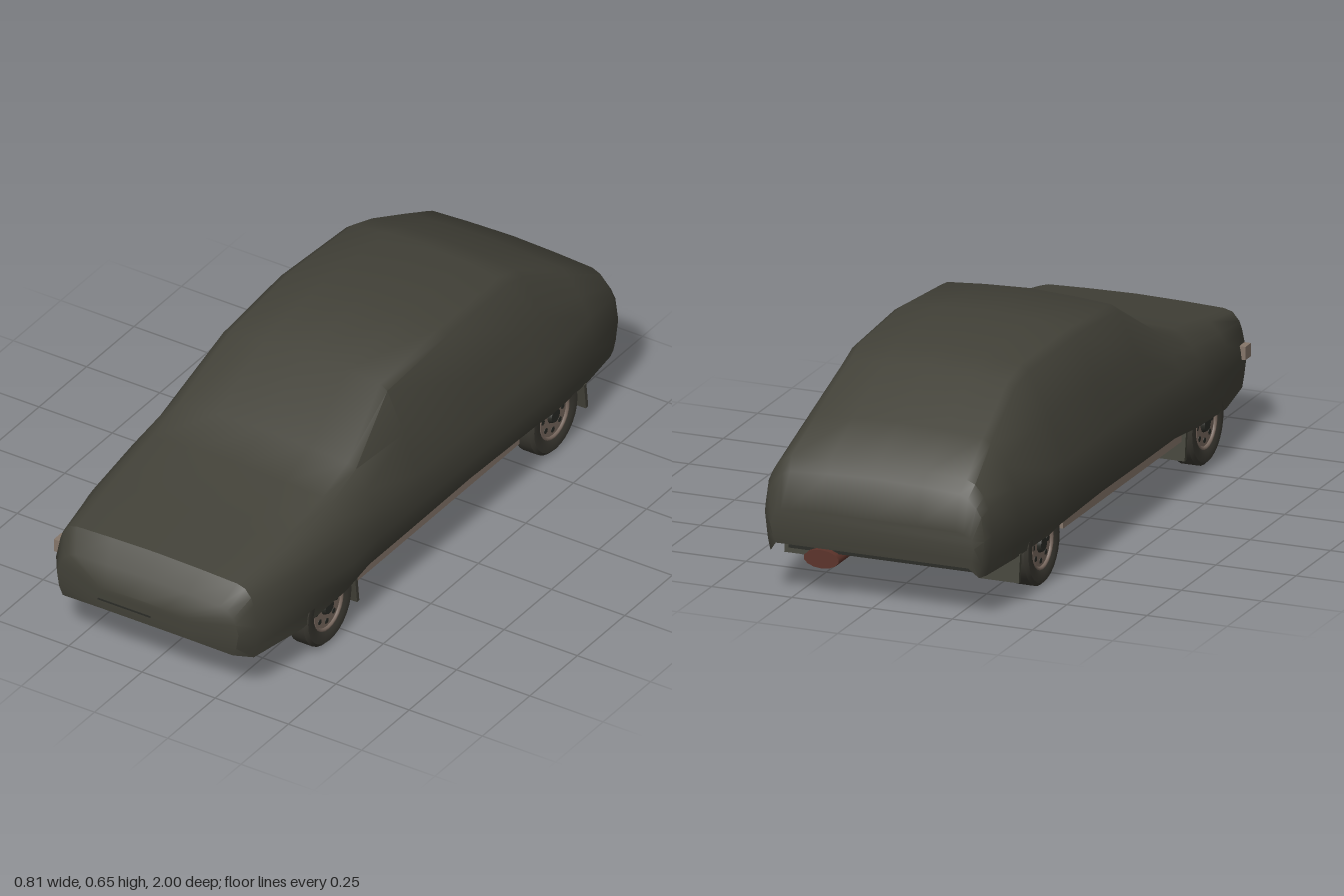
import * as THREE from 'three';
import { toCreasedNormals } from 'three/addons/utils/BufferGeometryUtils.js';

const mat = (name, color, side = THREE.FrontSide) => {
  const m = new THREE.MeshStandardMaterial({ color, side });
  m.name = name;
  return m;
};

export function createModel() {
  const cloth = mat('cover cloth', 0x424138, THREE.DoubleSide);
  const rubber = mat('tyre rubber', 0x3b3932);
  const steel = mat('wheel steel', 0x7a6a60);
  const under = mat('underbody', 0x2b2c27);
  const rust = mat('exhaust rust', 0x5c332a);
  const sillPaint = mat('sill paint', 0x85766a);

  const car = new THREE.Group();
  car.name = 'coveredCar';
  const add = (name, geo, m, x = 0, y = 0, z = 0, parent = car) => {
    const mesh = new THREE.Mesh(geo, m);
    mesh.name = name;
    mesh.position.set(x, y, z);
    parent.add(mesh);
    return mesh;
  };
  const box = (name, w, h, d, m, x, y, z, parent) =>
    add(name, new THREE.BoxGeometry(w, h, d), m, x, y, z, parent);

  // Cloth cover: z, crown y, then x,y of roof edge, belt, widest line and hem
  const sections = [
    [1.0, 0.245, 0.14, 0.237, 0.15, 0.22, 0.155, 0.2, 0.14, 0.17],
    [0.97, 0.305, 0.27, 0.29, 0.3, 0.25, 0.31, 0.22, 0.29, 0.145],
    [0.92, 0.365, 0.3, 0.35, 0.33, 0.3, 0.345, 0.23, 0.33, 0.125],
    [0.72, 0.4, 0.315, 0.382, 0.365, 0.32, 0.375, 0.24, 0.365, 0.125],
    [0.5, 0.44, 0.32, 0.415, 0.38, 0.34, 0.4, 0.24, 0.375, 0.14],
    [0.36, 0.48, 0.315, 0.455, 0.383, 0.34, 0.395, 0.25, 0.36, 0.145],
    [0.14, 0.62, 0.28, 0.59, 0.383, 0.34, 0.397, 0.25, 0.36, 0.145],
    [-0.17, 0.646, 0.285, 0.612, 0.385, 0.34, 0.4, 0.25, 0.36, 0.147],
    [-0.5, 0.637, 0.275, 0.6, 0.388, 0.34, 0.404, 0.25, 0.372, 0.15],
    [-0.59, 0.608, 0.27, 0.575, 0.383, 0.345, 0.4, 0.25, 0.375, 0.145],
    [-0.8, 0.502, 0.285, 0.475, 0.36, 0.35, 0.374, 0.25, 0.36, 0.137],
    [-0.95, 0.422, 0.3, 0.398, 0.343, 0.33, 0.354, 0.25, 0.335, 0.128],
    [-0.98, 0.385, 0.29, 0.362, 0.332, 0.31, 0.342, 0.24, 0.325, 0.128],
    [-1.0, 0.27, 0.285, 0.26, 0.31, 0.24, 0.318, 0.22, 0.3, 0.16],
  ];
  const rings = sections.map(([z, top, rx, ry, bx, by, mx, my, hx, hy]) => {
    const half = [
      [rx * 0.5, top - (top - ry) * 0.2],
      [rx * 0.91, ry + (top - ry) * 0.5],
      [rx, ry],
      [(rx + bx) / 2 + 0.006, (ry + by) / 2],
      [bx, by],
      [mx, my],
      [mx * 0.975, hy + (my - hy) * 0.35],
      [hx, hy],
    ];
    return [
      ...half.slice().reverse().map(([x, y]) => [-x, y, z]),
      [0, top, z],
      ...half.map(([x, y]) => [x, y, z]),
    ];
  });
  const n = rings[0].length, index = [];
  const quad = (a, b, c, d) => index.push(a, b, c, a, c, d);
  for (let s = 0; s < rings.length - 1; s++)
    for (let j = 0; j < n - 1; j++)
      quad(s * n + j, s * n + j + 1, (s + 1) * n + j + 1, (s + 1) * n + j);
  // nose and tail are closed by strips between mirrored points
  const last = (rings.length - 1) * n;
  for (let j = 0; j < (n - 1) / 2; j++) {
    const k = n - 1 - j;
    quad(j, k, k - 1, j + 1);
    quad(last + j, last + j + 1, last + k - 1, last + k);
  }
  let cover = new THREE.BufferGeometry();
  cover.setAttribute('position', new THREE.Float32BufferAttribute(rings.flat(2), 3));
  cover.setIndex(index);
  cover = toCreasedNormals(cover, 0.7);
  add('clothCover', cover, cloth);
  box('noseSlit', 0.18, 0.005, 0.004, under, -0.06, 0.2, 1.0);
  box('exposedLamp', 0.02, 0.04, 0.04, sillPaint, -0.356, 0.25, 0.88);

  // Floor pan with rails, tunnel and end valances
  box('floorPan', 0.56, 0.02, 1.72, under, 0, 0.135, 0);
  box('frontValance', 0.56, 0.05, 0.05, under, 0, 0.13, 0.86);
  box('bumperLip', 0.5, 0.02, 0.06, under, 0, 0.11, 0.83);
  box('rearValance', 0.58, 0.03, 0.06, under, 0, 0.14, -0.9);
  box('engineSump', 0.2, 0.04, 0.2, under, -0.03, 0.115, 0.66);
  for (const s of [-1, 1]) {
    box('floorRail', 0.04, 0.03, 0.8, under, s * 0.16, 0.115, 0);
    box('floorPanel', 0.13, 0.015, 0.38, under, s * 0.24, 0.12, 0.18);
    box('sideFloor', 0.09, 0.02, 0.82, under, s * 0.31, 0.14, -0.01);
    box('sill', 0.015, 0.03, 0.86, sillPaint, s * 0.348, 0.132, -0.01);
    box('sillFlange', 0.02, 0.02, 0.8, under, s * 0.325, 0.118, 0);
  }

  // Axles and cross members
  const axle = (name, r, z, y) => {
    const g = new THREE.CylinderGeometry(r, r, 0.6, 10);
    g.rotateZ(Math.PI / 2);
    add(name, g, under, 0, y, z);
  };
  axle('rearAxle', 0.02, -0.61, 0.125);
  axle('frontAxle', 0.014, 0.58, 0.125);
  box('crossMember', 0.5, 0.025, 0.05, under, 0, 0.11, 0.47);
  box('crossMember', 0.5, 0.025, 0.04, under, 0, 0.112, -0.42);

  // Exhaust line with two silencers
  const path = new THREE.CatmullRomCurve3([
    [0.13, 0.12, 0.6], [0.06, 0.105, 0.45], [0.02, 0.1, 0.1], [0, 0.1, -0.25],
    [0.12, 0.1, -0.45], [0.17, 0.105, -0.7], [0.18, 0.11, -0.95],
  ].map((p) => new THREE.Vector3(...p)));
  add('exhaustPipe', new THREE.TubeGeometry(path, 40, 0.01, 8), rust);
  const silencer = (name, r, len, flat, x, y, z) => {
    const g = new THREE.CylinderGeometry(r, r, len, 14);
    g.rotateX(Math.PI / 2);
    g.scale(1, flat, 1);
    add(name, g, rust, x, y, z);
  };
  silencer('middleSilencer', 0.034, 0.2, 0.6, 0.02, 0.105, 0.08);
  silencer('rearSilencer', 0.055, 0.2, 0.5, 0.18, 0.11, -0.85);
  box('fuelTank', 0.18, 0.02, 0.16, rust, 0.02, 0.122, -0.3);

  // Wheels: outer face along local +y before turning
  const tyreProfile = [
    [0.074, -0.03], [0.09, -0.0375], [0.114, -0.036], [0.124, -0.026],
    [0.124, 0.026], [0.114, 0.036], [0.09, 0.0375], [0.074, 0.03],
  ].map((p) => new THREE.Vector2(...p));
  const tyre = toCreasedNormals(new THREE.LatheGeometry(tyreProfile, 28), 0.6);
  const disc = new THREE.CylinderGeometry(0.077, 0.077, 0.05, 24);
  const hub = new THREE.CylinderGeometry(0.022, 0.028, 0.012, 14);
  const hole = new THREE.CylinderGeometry(0.009, 0.009, 0.004, 8);
  const rimLip = new THREE.TorusGeometry(0.074, 0.006, 6, 24).rotateX(Math.PI / 2);
  const wheel = (name, side, z) => {
    const g = new THREE.Group();
    g.name = name;
    add('tyre', tyre, rubber, 0, 0, 0, g);
    add('rim', disc, steel, 0, 0, 0, g);
    add('rimLip', rimLip, steel, 0, 0.028, 0, g);
    add('hub', hub, under, 0, 0.03, 0, g);
    for (let i = 0; i < 8; i++) {
      const a = (i * Math.PI) / 4;
      add('rimHole', hole, under, 0.052 * Math.cos(a), 0.0245, 0.052 * Math.sin(a), g);
    }
    g.rotation.z = (-side * Math.PI) / 2;
    g.position.set(side * 0.333, 0.125, z);
    car.add(g);
  };

  // Wheels and hanging mud flaps on both sides
  for (const s of [-1, 1]) {
    wheel('frontWheel', s, 0.58);
    wheel('rearWheel', s, -0.61);
    for (const z of [0.43, -0.775]) {
      const flap = box('mudFlap', 0.125, 0.085, 0.012, cloth, s * 0.303, 0.1, z);
      flap.rotation.x = 0.12;
    }
  }
  return car;
}
